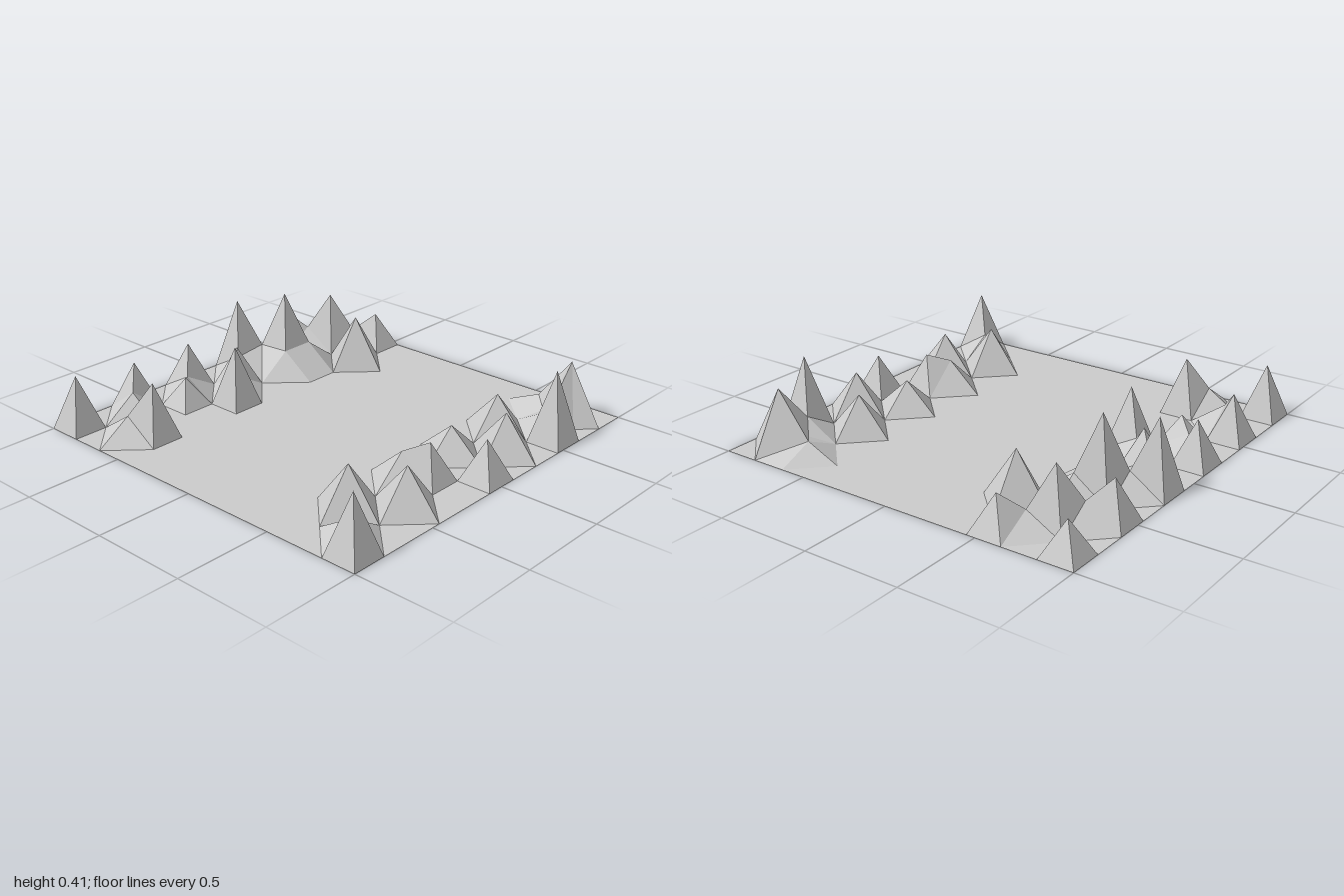
import * as THREE from 'three';

const N = 11, STEP = 2 / N;

// raised grid corners: column (x), row (z), height
const corners = [
  [1, 2, 0.12], [1, 4, 0.12], [1, 5, 0.1], [1, 7, 0.1], [1, 9, 0.13],
  [2, 1, 0.1], [2, 3, 0.13], [2, 4, 0.13], [2, 6, 0.1], [2, 10, 0.12], [3, 2, 0.27],
  [9, 1, 0.08], [9, 3, 0.2], [9, 5, 0.16], [9, 7, 0.16], [9, 9, 0.235],
  [10, 1, 0.31], [10, 2, 0.1], [10, 4, 0.22], [10, 8, 0.22], [10, 10, 0.11],
];

// peaks in the middle of a grid cell: column, row, height
const peaks = [
  [0, 0, 0.18], [0, 2, 0.22], [0, 4, 0.375], [0, 6, 0.235], [0, 8, 0.24], [0, 10, 0.28],
  [1, 1, 0.31], [1, 3, 0.413], [1, 5, 0.21], [1, 7, 0.15],
  [2, 0, 0.19], [2, 6, 0.314], [2, 9, 0.29],
  [9, 1, 0.05], [9, 6, 0.2],
  [10, 1, 0], [10, 2, 0.372], [10, 5, 0.21], [10, 10, 0.31],
];

const toMap = (list) => new Map(list.map(([i, j, h]) => [i + j * 100, h]));

export function createModel() {
  const cornerMap = toMap(corners), peakMap = toMap(peaks);
  const point = (i, j) => [i * STEP - 1, cornerMap.get(i + j * 100) ?? 0, j * STEP - 1];
  const mountains = [], plain = [];

  for (let j = 0; j < N; j++) {
    for (let i = 0; i < N; i++) {
      const a = point(i, j), b = point(i, j + 1), c = point(i + 1, j + 1), d = point(i + 1, j);
      const ring = [a, b, c, d];
      const peak = peakMap.get(i + j * 100);
      const raised = peak !== undefined || ring.some((p) => p[1] > 0);
      const out = raised ? mountains : plain;
      if (peak !== undefined) {
        // four slopes up to the cell's peak
        const top = [(i + 0.5) * STEP - 1, peak, (j + 0.5) * STEP - 1];
        ring.forEach((p, k) => out.push(...p, ...ring[(k + 1) % 4], ...top));
      } else if (a[1] + c[1] < b[1] + d[1]) {
        // fold along the lower diagonal
        out.push(...a, ...b, ...c, ...a, ...c, ...d);
      } else {
        out.push(...a, ...b, ...d, ...b, ...c, ...d);
      }
    }
  }

  const material = new THREE.MeshStandardMaterial({
    color: 0xcccccc, flatShading: true, side: THREE.DoubleSide,
  });
  const group = new THREE.Group();
  group.name = 'valleyTerrain';
  for (const [name, positions] of [['mountainRanges', mountains], ['valleyFloor', plain]]) {
    const geometry = new THREE.BufferGeometry();
    geometry.setAttribute('position', new THREE.Float32BufferAttribute(positions, 3));
    geometry.computeVertexNormals();
    const mesh = new THREE.Mesh(geometry, material);
    mesh.name = name;
    group.add(mesh);
  }
  return group;
}
